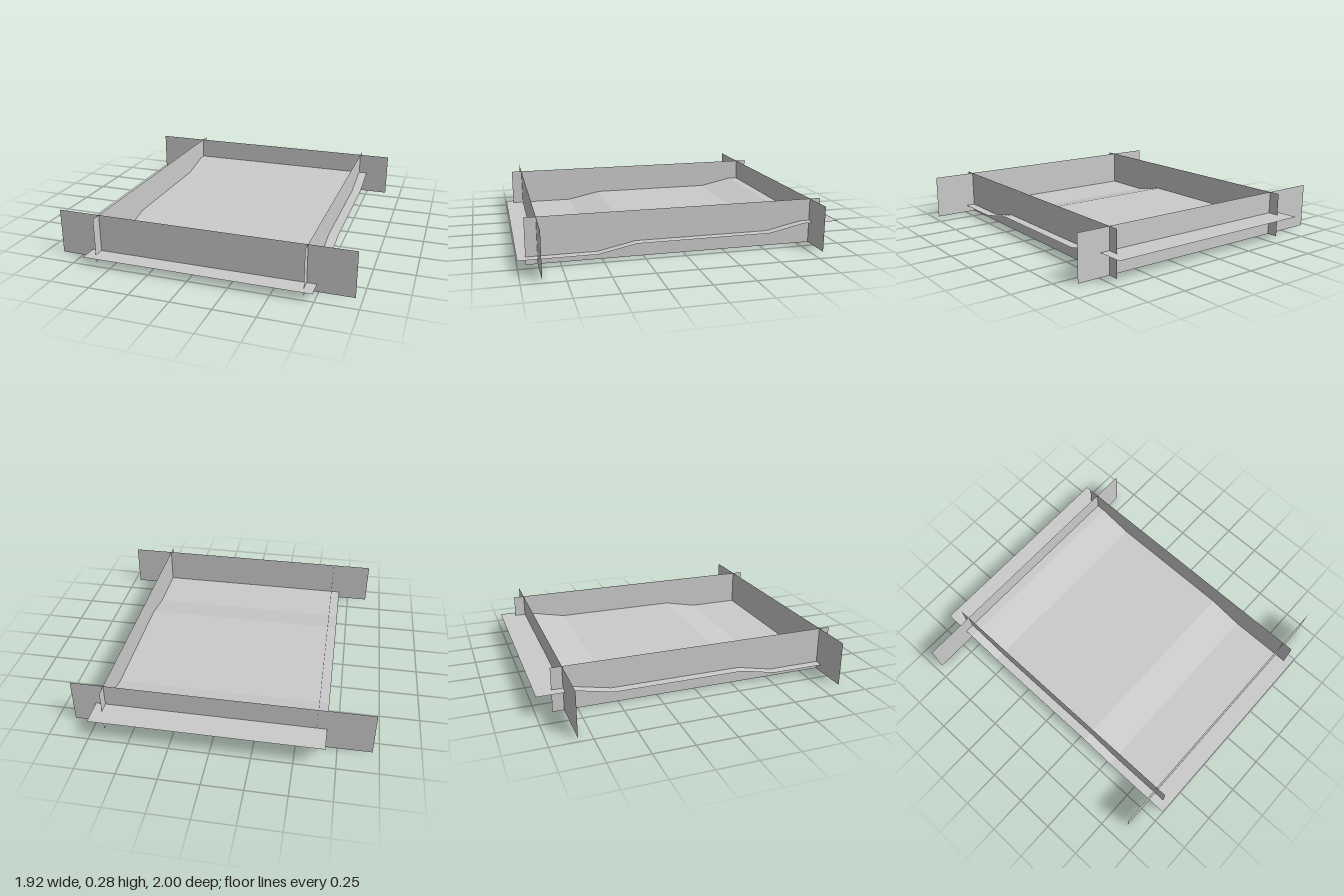
import * as THREE from 'three';

export function createModel() {
  const model = new THREE.Group();
  const material = new THREE.MeshStandardMaterial({
    color: 0xcccccc, side: THREE.DoubleSide, flatShading: true,
  });
  const height = 0.285, length = 1.85;

  // Thin upright wall, standing on the ground and centred on (x, z)
  function addWall(name, x, z, turn) {
    const wall = new THREE.Mesh(new THREE.PlaneGeometry(length, height), material);
    wall.name = name;
    wall.position.set(x, height / 2, z);
    wall.rotation.y = turn;
    model.add(wall);
  }

  // Front and back walls, staggered sideways
  addWall('frontWall', 0.035, 0.88, 0);
  addWall('backWall', -0.035, -0.83, Math.PI);

  // Side walls, crossing the front and back walls near their ends
  addWall('leftWall', 0.68, 0.025, Math.PI / 2);
  addWall('rightWall', -0.62, 0.025, -Math.PI / 2);

  // Floor sheet stepping down from back to front: [z, y]
  const profile = [
    [-1, 0.144], [-0.77, 0.144], [-0.54, 0.096],
    [0.3, 0.096], [0.53, 0.048], [1, 0.048],
  ];
  const sheet = new THREE.PlaneGeometry(1.42, 2, 1, profile.length - 1).rotateX(-Math.PI / 2);
  const points = sheet.attributes.position;
  for (let i = 0; i < points.count; i++) {
    const [z, y] = profile[Math.floor(i / 2)];
    points.setY(i, y);
    points.setZ(i, z);
  }
  sheet.computeVertexNormals();
  const floor = new THREE.Mesh(sheet, material);
  floor.name = 'steppedFloor';
  floor.position.x = 0.03;
  model.add(floor);

  return model;
}
